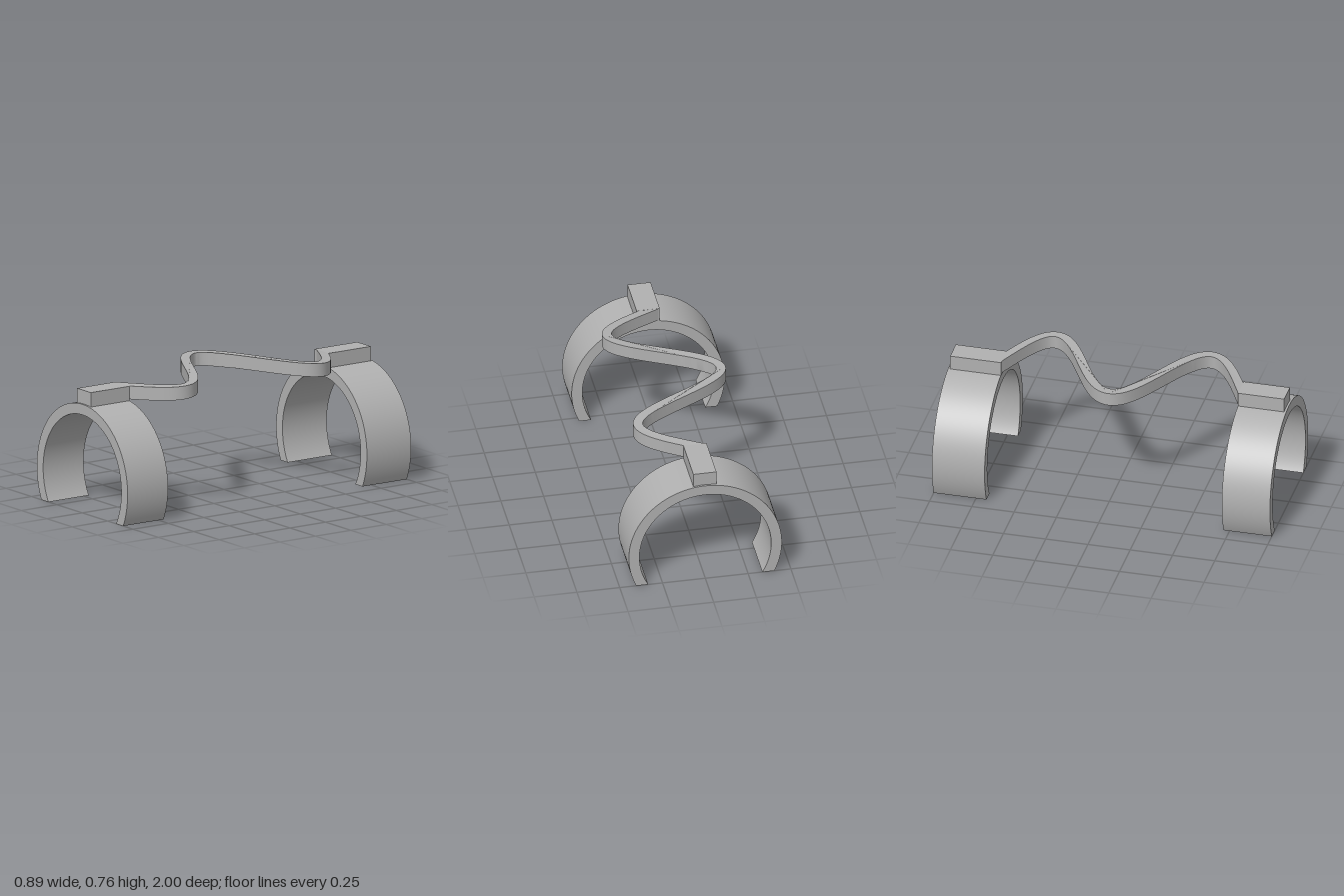
import * as THREE from 'three';
import { toCreasedNormals } from 'three/addons/utils/BufferGeometryUtils.js';

const OUTER = 0.447, INNER = 0.385, CENTRE_Y = 0.193;
const CREASE = Math.PI / 6;

// Open ring, cut flat where it stands on the ground
function ringGeometry(depth) {
  const a = Math.asin(CENTRE_Y / OUTER), b = Math.asin(CENTRE_Y / INNER);
  const shape = new THREE.Shape();
  shape.absarc(0, CENTRE_Y, OUTER, -a, Math.PI + a, false);
  shape.absarc(0, CENTRE_Y, INNER, Math.PI + b, -b, true);
  shape.closePath();
  const geo = new THREE.ExtrudeGeometry(shape, { depth, bevelEnabled: false, curveSegments: 64 });
  return toCreasedNormals(geo, CREASE);
}

// Sine-shaped strip between the clips, bowed gently upward
function waveGeometry() {
  const amp = 0.287, half = 0.702, mid = 0.01, width = 0.055, height = 0.078;
  const steps = 120, reach = half + 0.024;
  const k = 1.5 * Math.PI / half;
  const left = [], right = [];
  for (let i = 0; i <= steps; i++) {
    const s = -reach + 2 * reach * i / steps;
    const x = -amp * Math.cos(k * s);
    const n = new THREE.Vector2(1, -amp * k * Math.sin(k * s)).normalize().multiplyScalar(width / 2);
    left.push(new THREE.Vector2(x - n.x, s - n.y));
    right.push(new THREE.Vector2(x + n.x, s + n.y));
  }
  const shape = new THREE.Shape([...right, ...left.reverse()]);
  const geo = new THREE.ExtrudeGeometry(shape, { depth: height, bevelEnabled: false });
  geo.rotateX(-Math.PI / 2);
  const p = geo.attributes.position;
  for (let i = 0; i < p.count; i++) {
    const u = p.getZ(i) / half;
    p.setY(i, p.getY(i) + 0.757 - height - 0.037 * u * u);
  }
  geo.translate(0, 0, mid);
  return toCreasedNormals(geo, CREASE);
}

export function createModel() {
  const model = new THREE.Group();
  model.name = 'springConnectedClips';
  const grey = new THREE.MeshStandardMaterial({ color: 0xb0b0b0 });
  grey.name = 'grey';

  const add = (name, geometry) => {
    const mesh = new THREE.Mesh(geometry, grey);
    mesh.name = name;
    model.add(mesh);
    return mesh;
  };

  // Two clips, each with a mounting block along its top
  for (const [side, z0, z1, b0, b1] of [
    ['front', 0.715, 1, 0.715, 0.988],
    ['back', -1, -0.688, -0.988, -0.686],
  ]) {
    add(side + 'Clip', ringGeometry(z1 - z0)).position.z = z0;
    add(side + 'Block', new THREE.BoxGeometry(0.135, 0.088, b1 - b0))
      .position.set(0, 0.676, (b0 + b1) / 2);
  }

  add('waveSpring', waveGeometry());
  return model;
}
